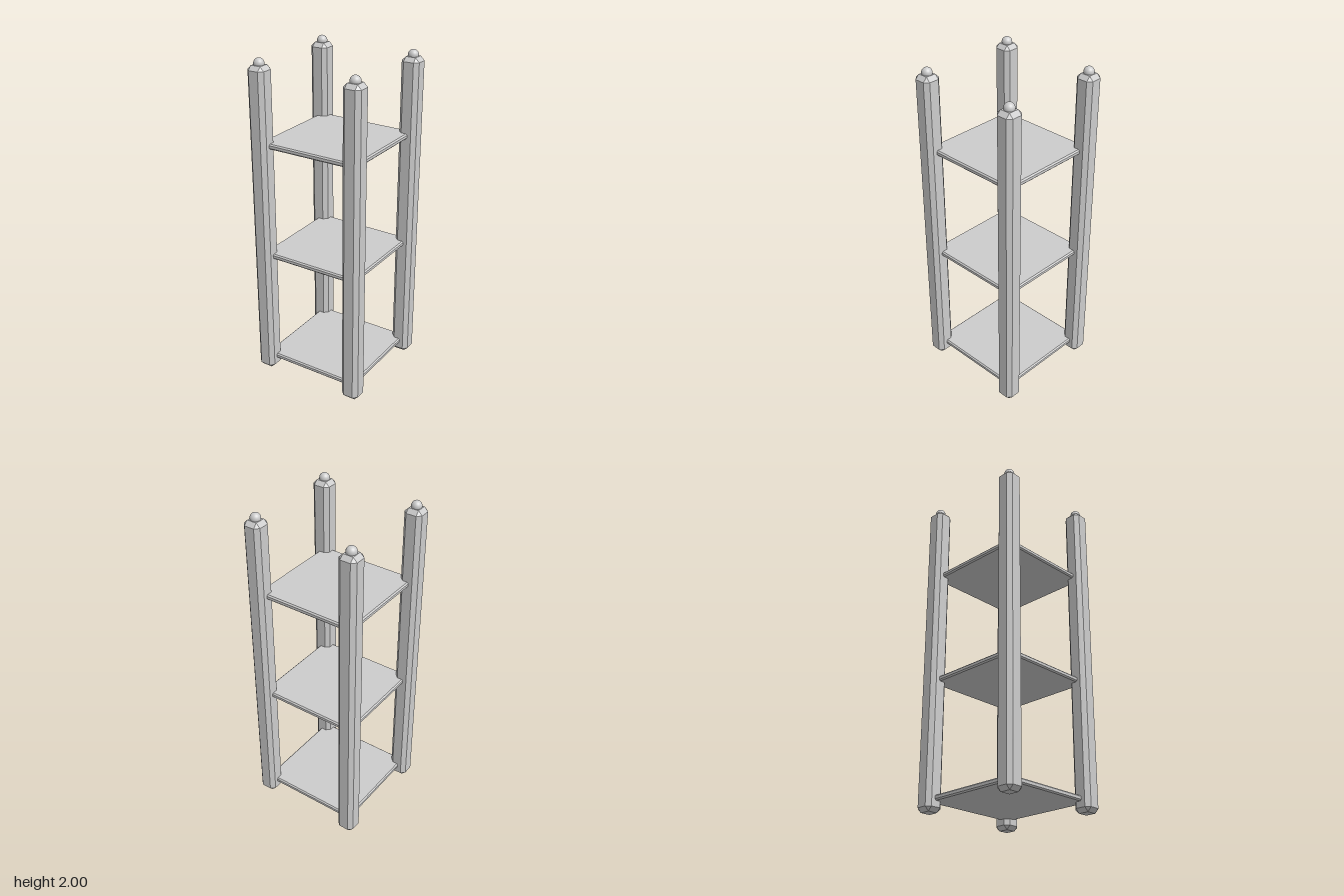
import * as THREE from 'three';
import { ConvexGeometry } from 'three/addons/geometries/ConvexGeometry.js';

// Box with all edges cut at 45 degrees; a, b, d are half sizes, c is the cut
function chamferedBox(a, b, d, c) {
  const points = [];
  for (const x of [-1, 1]) for (const y of [-1, 1]) for (const z of [-1, 1]) {
    points.push(
      new THREE.Vector3(x * a, y * (b - c), z * (d - c)),
      new THREE.Vector3(x * (a - c), y * b, z * (d - c)),
      new THREE.Vector3(x * (a - c), y * (b - c), z * d),
    );
  }
  return new ConvexGeometry(points);
}

export function createModel() {
  const model = new THREE.Group();
  model.name = 'shelfUnit';
  const grey = new THREE.MeshStandardMaterial({ color: 0xcccccc });
  grey.name = 'light grey';

  const add = (name, geometry, x, y, z) => {
    const mesh = new THREE.Mesh(geometry, grey);
    mesh.name = name;
    mesh.position.set(x, y, z);
    model.add(mesh);
  };

  // Four corner posts, each topped by a ball finial
  const post = chamferedBox(0.056, 0.98, 0.056, 0.0245);
  const ball = new THREE.SphereGeometry(0.031, 32, 16);
  for (const [zName, z] of [['front', 0.31], ['back', -0.31]]) {
    for (const [xName, x] of [['Left', 0.31], ['Right', -0.31]]) {
      add(`${zName}${xName}Post`, post, x, 0.98, z);
      add(`${zName}${xName}Finial`, ball, x, 1.969, z);
    }
  }

  // Three square shelves
  const shelf = chamferedBox(0.318, 0.016, 0.318, 0.008);
  for (const [name, y] of [['bottom', 0.077], ['middle', 0.792], ['top', 1.495]]) {
    add(`${name}Shelf`, shelf, 0, y, 0);
  }
  return model;
}
